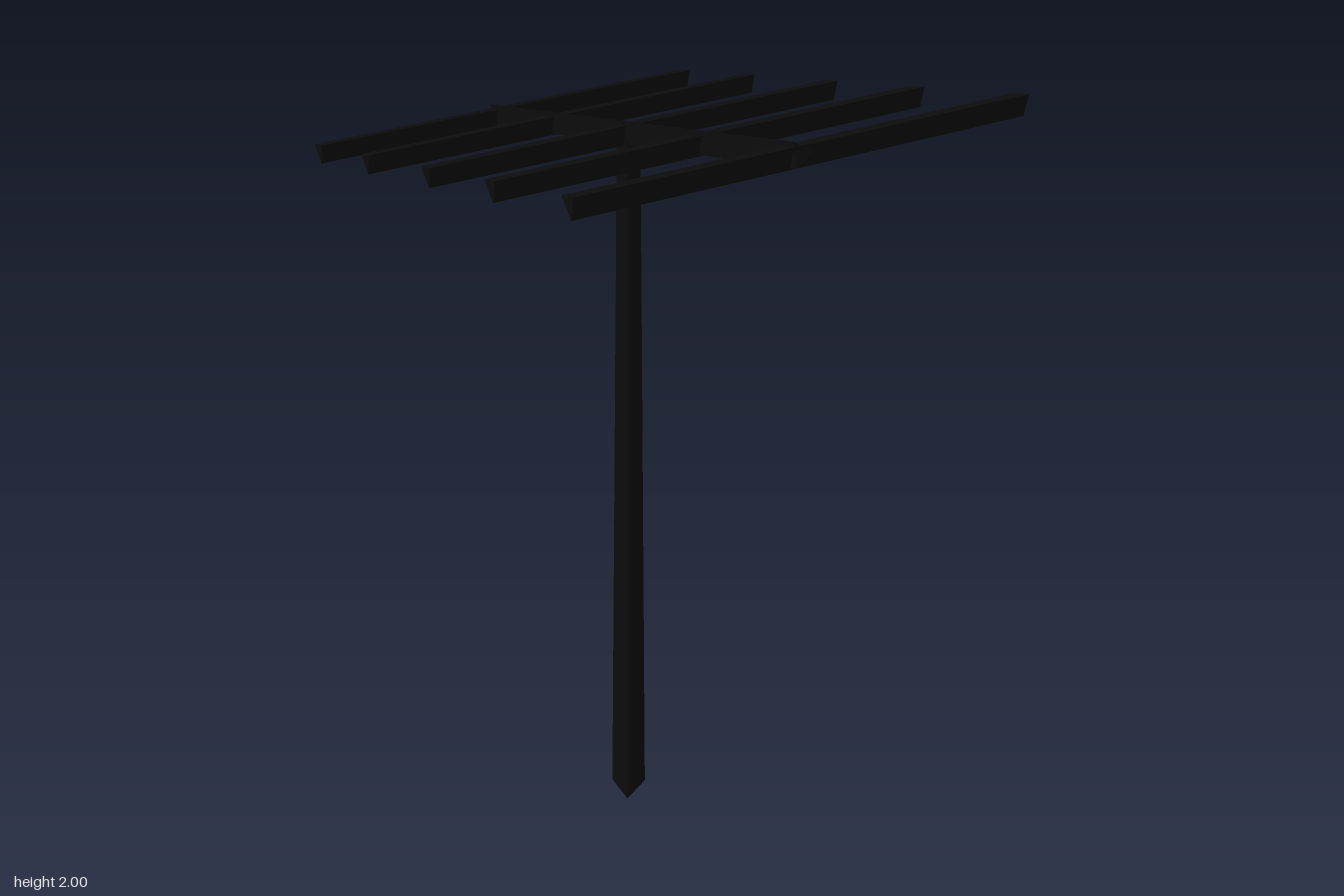
import * as THREE from 'three';

const black = new THREE.MeshStandardMaterial({ color: 0x0c0c0c, flatShading: true });
black.name = 'matte black';

// Three-sided rod between two points, with one edge turned towards "apex"
function rod(name, from, to, rFrom, rTo, apex) {
  const axis = to.clone().sub(from);
  const geometry = new THREE.CylinderGeometry(rTo, rFrom, axis.length(), 3);
  axis.normalize();
  const side = new THREE.Vector3().crossVectors(axis, apex).normalize();
  const up = new THREE.Vector3().crossVectors(side, axis);
  geometry.applyMatrix4(new THREE.Matrix4().makeBasis(side, axis, up));
  const mesh = new THREE.Mesh(geometry, black);
  mesh.name = name;
  mesh.position.copy(from).add(to).multiplyScalar(0.5);
  return mesh;
}

export function createModel() {
  const v = (x, y, z) => new THREE.Vector3(x, y, z);
  const model = new THREE.Group();
  model.name = 'antenna';
  const R = 0.028, slope = 0.325, hub = 1.767, boomX = -0.024;
  const boomY = (z) => hub + slope * z;

  // Tapered mast
  model.add(rod('mast', v(-0.029, 0, 0), v(boomX, hub, 0), 0.047, R, v(1, 0, 0)));

  // Tilted boom, higher at the front
  const end = 0.656;
  model.add(rod('boom', v(boomX, boomY(-end), -end), v(boomX, boomY(end), end), R, R, v(1, 0, 0)));

  // Crossbars along the boom, lower edge square to it
  const bars = new THREE.Group();
  bars.name = 'crossbars';
  [0.636, 0.31, -0.002, -0.343, -0.645].forEach((z, i) => {
    const y = boomY(z);
    bars.add(rod(`crossbar${i + 1}`, v(-0.47, y, z), v(0.47, y, z), R, R, v(0, -1, slope)));
  });
  model.add(bars);
  return model;
}
